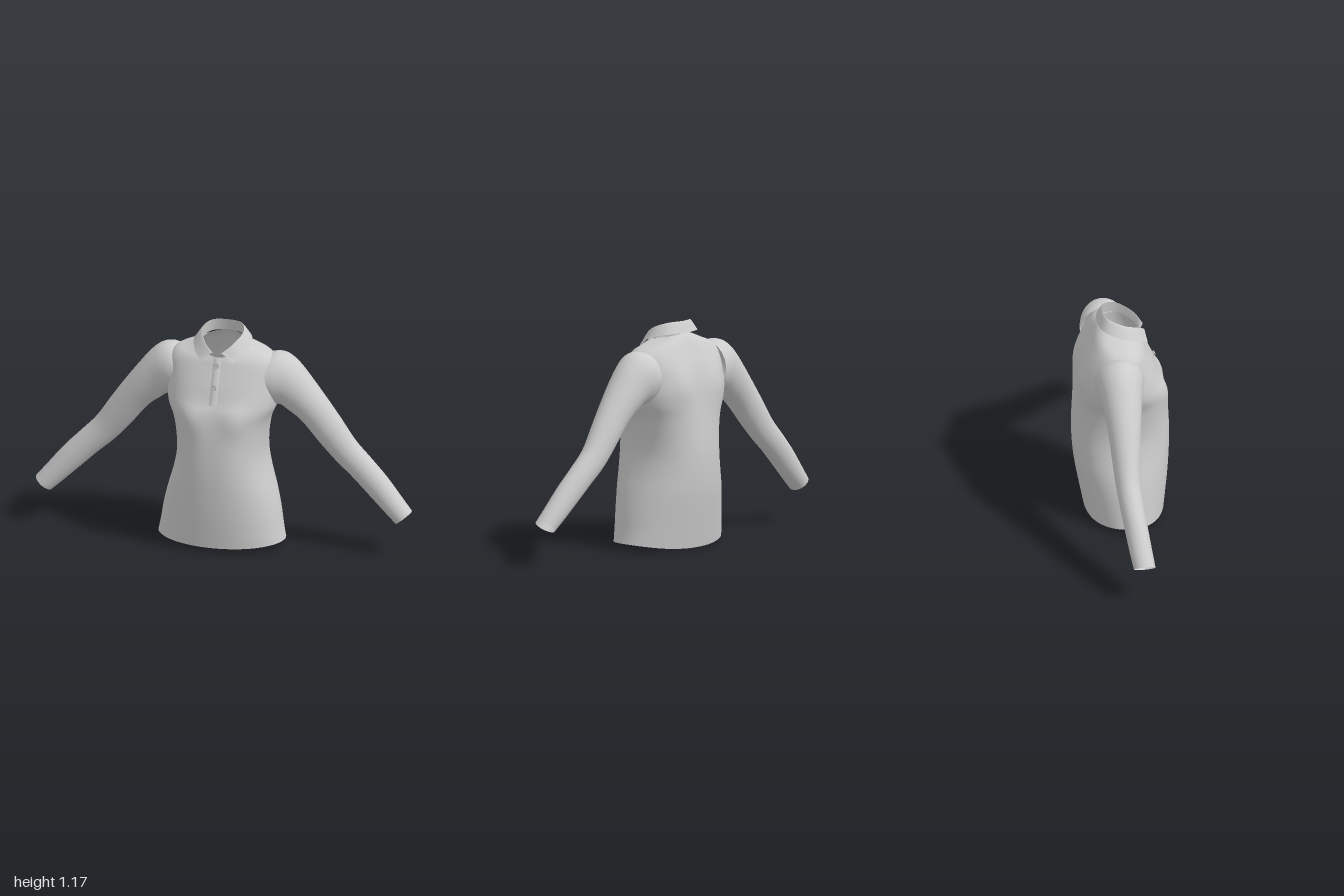
import * as THREE from 'three';

const fabric = new THREE.MeshStandardMaterial({ color: 0xcccccc, side: THREE.DoubleSide });
fabric.name = 'light grey fabric';
const buttonGrey = new THREE.MeshStandardMaterial({ color: 0xb4b4b4 });
buttonGrey.name = 'button grey';

const V = (x, y, z) => new THREE.Vector3(x, y, z);
const gauss = (d, s) => Math.exp(-(d * d) / (s * s));

// Surface through rows of points, smoothed from row to row
function loft(name, rows, steps, closed, adjust) {
  const n = rows[0].length;
  const pos = [], idx = [];
  const curves = rows[0].map((_, j) => new THREE.CatmullRomCurve3(rows.map(r => r[j])));
  for (let i = 0; i <= steps; i++) {
    for (const c of curves) {
      const p = c.getPoint(i / steps);
      if (adjust) adjust(p);
      pos.push(p.x, p.y, p.z);
    }
  }
  const across = closed ? n : n - 1;
  for (let i = 0; i < steps; i++) {
    for (let j = 0; j < across; j++) {
      const a = i * n + j, b = i * n + (j + 1) % n;
      idx.push(a, a + n, b, b, a + n, b + n);
    }
  }
  const g = new THREE.BufferGeometry();
  g.setAttribute('position', new THREE.Float32BufferAttribute(pos, 3));
  g.setIndex(idx);
  g.computeVertexNormals();
  const mesh = new THREE.Mesh(g, fabric);
  mesh.name = name;
  return mesh;
}

// Torso rings: half width, side y, front y, front z, back y, back z, squareness
const torsoRings = [
  [0.335, 0.038, 0.025, 0.220, 0.004, -0.188, 2.1],
  [0.322, 0.10, 0.10, 0.229, 0.09, -0.204, 2.1],
  [0.305, 0.20, 0.20, 0.240, 0.20, -0.224, 2.1],
  [0.280, 0.30, 0.30, 0.247, 0.30, -0.239, 2.2],
  [0.250, 0.40, 0.40, 0.251, 0.40, -0.247, 2.3],
  [0.230, 0.50, 0.50, 0.250, 0.50, -0.249, 2.4],
  [0.233, 0.60, 0.60, 0.244, 0.60, -0.245, 2.4],
  [0.250, 0.69, 0.69, 0.232, 0.69, -0.240, 2.4],
  [0.280, 0.76, 0.76, 0.216, 0.76, -0.235, 2.4],
  [0.288, 0.82, 0.81, 0.193, 0.83, -0.227, 2.5],
  [0.286, 0.89, 0.88, 0.168, 0.90, -0.211, 2.5],
  [0.285, 0.95, 0.94, 0.142, 0.96, -0.190, 2.5],
  [0.280, 1.00, 0.985, 0.122, 1.02, -0.162, 2.4],
  [0.250, 1.036, 1.005, 0.114, 1.06, -0.142, 2.2],
  [0.190, 1.060, 1.018, 0.108, 1.088, -0.124, 2.0],
  [0.120, 1.085, 1.030, 0.102, 1.110, -0.105, 2.0],
];

function torsoRing([w, ys, yf, zf, yb, zb, sq]) {
  return Array.from({ length: 72 }, (_, j) => {
    const a = (j / 72) * Math.PI * 2, c = Math.cos(a), s = Math.sin(a);
    const power = v => Math.sign(v) * Math.pow(Math.abs(v), 2 / sq);
    const y = THREE.MathUtils.lerp(ys, s > 0 ? yf : yb, s * s);
    return V(w * power(c), y, (zf + zb) / 2 + ((zf - zb) / 2) * power(s));
  });
}

// Bust fullness in front, shallow hollow along the spine behind
function shapeTorso(p) {
  if (p.z > 0) {
    p.z += 0.02 * gauss(Math.abs(p.x) - 0.125, 0.075) * gauss(p.y - 0.725, 0.085);
  } else if (p.z < -0.05) {
    p.z += 0.012 * gauss(p.x, 0.05) * gauss(p.y - 0.8, 0.2);
    p.z -= 0.012 * gauss(Math.abs(p.x) - 0.14, 0.08) * gauss(p.y - 0.87, 0.1);
  }
}

// Sleeve sections: top x, y, bottom x, y, front z, back z
const sleeveSections = [
  [0.240, 1.030, 0.245, 0.775, 0.090, -0.170],
  [0.285, 1.040, 0.270, 0.762, 0.085, -0.167],
  [0.335, 1.030, 0.305, 0.757, 0.073, -0.158],
  [0.390, 0.988, 0.345, 0.728, 0.060, -0.148],
  [0.455, 0.910, 0.385, 0.700, 0.050, -0.140],
  [0.530, 0.812, 0.430, 0.655, 0.037, -0.131],
  [0.610, 0.700, 0.505, 0.563, 0.022, -0.125],
  [0.690, 0.583, 0.590, 0.470, 0.009, -0.118],
  [0.770, 0.500, 0.672, 0.398, 0.012, -0.110],
  [0.860, 0.408, 0.768, 0.308, 0.022, -0.097],
  [0.940, 0.312, 0.852, 0.230, 0.032, -0.084],
  [1.000, 0.240, 0.917, 0.172, 0.040, -0.072],
];

function sleeve(side) {
  const rows = sleeveSections.map(([tx, ty, bx, by, zf, zb]) =>
    Array.from({ length: 36 }, (_, j) => {
      const a = (j / 36) * Math.PI * 2, c = Math.cos(a) / 2, s = Math.sin(a) / 2;
      return V(side * ((tx + bx) / 2 + (tx - bx) * c), (ty + by) / 2 + (ty - by) * c,
        (zf + zb) / 2 + (zf - zb) * s);
    }));
  return loft(side > 0 ? 'leftSleeve' : 'rightSleeve', rows, 44, true);
}

// Collar edge from the left front, round the back, to the right front
function collarEdge(half) {
  const pts = half.map(p => V(...p));
  const mirrored = half.slice(0, -1).reverse().map(([x, y, z]) => V(-x, y, z));
  return new THREE.CatmullRomCurve3([...pts, ...mirrored]).getPoints(64);
}

function collar() {
  const group = new THREE.Group();
  group.name = 'collar';
  const base = collarEdge([[0.004, 1.032, 0.102], [0.062, 1.048, 0.084],
    [0.115, 1.085, 0.0], [0.085, 1.104, -0.076], [0, 1.110, -0.102]]);
  const fold = collarEdge([[0.022, 1.060, 0.122], [0.072, 1.100, 0.085],
    [0.109, 1.145, 0.0], [0.078, 1.168, -0.068], [0, 1.170, -0.090]]);
  const edge = collarEdge([[0.086, 1.018, 0.132], [0.126, 1.050, 0.085],
    [0.154, 1.088, -0.005], [0.112, 1.112, -0.092], [0, 1.112, -0.120]]);
  // Rounded top of the fold
  const roll = fold.map((p, i) => p.clone().lerp(edge[i], 0.12).add(V(0, 0.004, 0)));
  group.add(loft('collarStand', [base, fold], 4, false));
  group.add(loft('collarLeaf', [fold, roll, edge], 10, false));
  return group;
}

// Centre front line of the torso
const frontLine = new THREE.CatmullRomCurve3(torsoRings.map(r => V(0, r[2], r[3])));
function frontPoint(y) {
  let lo = 0, hi = 1;
  for (let i = 0; i < 30; i++) {
    const mid = (lo + hi) / 2;
    if (frontLine.getPoint(mid).y < y) lo = mid; else hi = mid;
  }
  return { point: frontLine.getPoint(lo), tangent: frontLine.getTangent(lo) };
}

// Button strip laid over the chest, with turned-in side edges
function placket() {
  const rows = [];
  for (let i = 0; i <= 10; i++) {
    const z = frontPoint(0.8 + 0.0228 * i).point;
    rows.push([[-0.02, -0.004], [-0.019, 0.005], [0, 0.006], [0.019, 0.005], [0.02, -0.004]]
      .map(([x, d]) => V(x, z.y + d * 0.4, z.z + d)));
  }
  return loft('placket', rows, 20, false);
}

function button(y) {
  const { point, tangent } = frontPoint(y);
  const normal = V(0, -tangent.z, tangent.y).normalize();
  const group = new THREE.Group();
  group.name = 'button';
  const disc = new THREE.Mesh(new THREE.CylinderGeometry(0.012, 0.013, 0.008, 20), buttonGrey);
  disc.name = 'buttonDisc';
  const rim = new THREE.Mesh(new THREE.TorusGeometry(0.0115, 0.0025, 8, 20), buttonGrey);
  rim.name = 'buttonRim';
  rim.rotation.x = Math.PI / 2;
  rim.position.y = 0.004;
  group.add(disc, rim);
  group.quaternion.setFromUnitVectors(V(0, 1, 0), normal);
  group.position.copy(point).addScaledVector(normal, 0.010);
  return group;
}

export function createModel() {
  const shirt = new THREE.Group();
  shirt.name = 'longSleevedShirt';
  shirt.add(loft('torso', torsoRings.map(torsoRing), 75, true, shapeTorso));
  shirt.add(sleeve(1), sleeve(-1), collar(), placket());
  for (const y of [0.99, 0.885]) shirt.add(button(y));
  return shirt;
}
